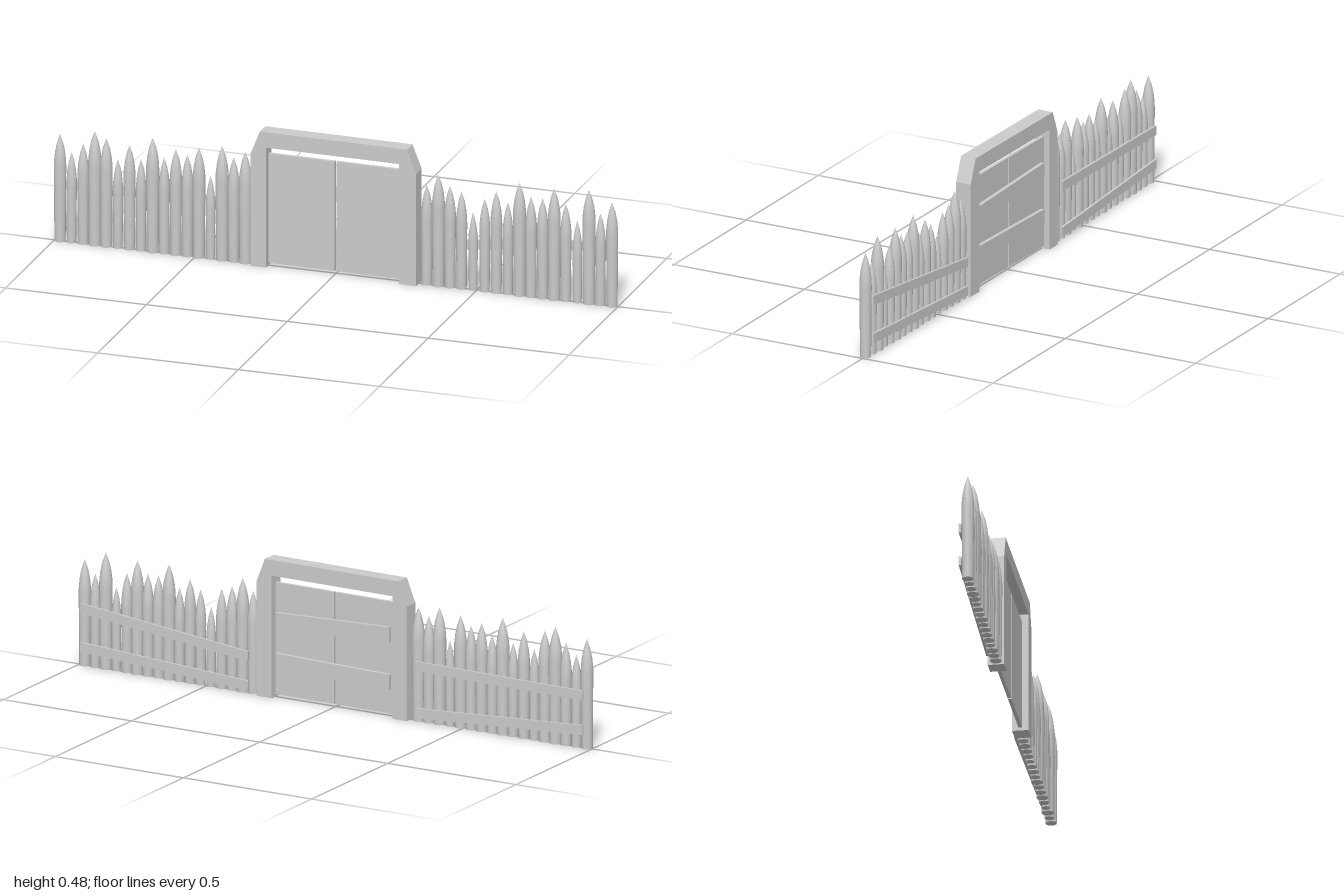
import * as THREE from 'three';

const material = new THREE.MeshStandardMaterial({ color: 0xcccccc });

function addMesh(parent, name, geometry) {
  const mesh = new THREE.Mesh(geometry, material);
  mesh.name = name;
  parent.add(mesh);
  return mesh;
}

// Sharpened log: slightly swollen shaft with a curved point and a flat foot
function makeStake(x, height) {
  const stake = new THREE.Group();
  stake.name = 'stake';
  const r = 0.0165 + Math.max(0, height - 0.29) * 0.055;
  const profile = [
    [0.9 * r, 0], [0.95 * r, height * 0.4], [r, height - 0.12], [0.97 * r, height - 0.095],
    [0.82 * r, height - 0.065], [0.55 * r, height - 0.035], [0.0003, height],
  ].map(([px, py]) => new THREE.Vector2(px, py));
  addMesh(stake, 'stakeShaft', new THREE.LatheGeometry(profile, 12));
  addMesh(stake, 'stakeFoot', new THREE.CircleGeometry(0.9 * r, 12).rotateX(Math.PI / 2));
  stake.position.x = x;
  return stake;
}

// Board running between two points in the xy plane
function addBoard(parent, name, [x0, y0], [x1, y1], height, depth, z) {
  const length = Math.hypot(x1 - x0, y1 - y0);
  const board = addMesh(parent, name, new THREE.BoxGeometry(length, height, depth));
  board.position.set((x0 + x1) / 2, (y0 + y1) / 2, z);
  board.rotation.z = Math.atan2(y1 - y0, x1 - x0);
}

// Row of stakes with two rails nailed on the back
function makeFence(name, startX, heights, rails) {
  const fence = new THREE.Group();
  fence.name = name;
  heights.forEach((h, i) => fence.add(makeStake(startX + i * 0.0411, h)));
  rails.forEach(([from, to]) => addBoard(fence, 'fenceRail', from, to, 0.033, 0.008, -0.027));
  return fence;
}

function makeGate() {
  const gate = new THREE.Group();
  gate.name = 'gate';

  // Chamfered portal open at the ground
  const outline = [
    [-0.295, 0], [-0.24, 0], [-0.24, 0.428], [0.235, 0.428], [0.235, 0], [0.295, 0],
    [0.295, 0.4], [0.262, 0.483], [-0.262, 0.483], [-0.295, 0.4],
  ].map(([x, y]) => new THREE.Vector2(x, y));
  const frame = new THREE.ExtrudeGeometry(new THREE.Shape(outline), { depth: 0.056, bevelEnabled: false });
  addMesh(gate, 'gateFrame', frame.translate(0, 0, -0.028));

  // Two door leaves with a narrow gap
  for (const [x0, x1] of [[-0.239, -0.003], [0.003, 0.234]]) {
    const leaf = addMesh(gate, 'doorLeaf', new THREE.BoxGeometry(x1 - x0, 0.39, 0.012));
    leaf.position.set((x0 + x1) / 2, 0.205, 0);
  }

  // Crossbars on the back of the doors
  addBoard(gate, 'crossbar', [-0.22, 0.288], [0.225, 0.272], 0.052, 0.013, -0.0125);
  addBoard(gate, 'crossbar', [-0.22, 0.122], [0.225, 0.13], 0.052, 0.013, -0.0125);

  gate.rotation.y = -0.012;
  return gate;
}

export function createModel() {
  const model = new THREE.Group();
  model.name = 'palisadeWithGate';
  const rightHeights = [0.38, 0.32, 0.355, 0.405, 0.385, 0.315, 0.37, 0.325, 0.405,
    0.34, 0.375, 0.36, 0.39, 0.295, 0.405, 0.37, 0.395];
  const leftHeights = [0.355, 0.395, 0.36, 0.345, 0.275, 0.33, 0.36, 0.325, 0.4,
    0.355, 0.355, 0.395, 0.345, 0.29, 0.405, 0.325, 0.37];
  model.add(
    makeFence('rightFence', -0.98, rightHeights, [
      [[-0.98, 0.19], [-0.33, 0.197]],
      [[-0.98, 0.07], [-0.33, 0.033]],
    ]),
    makeFence('leftFence', 0.322, leftHeights, [
      [[0.325, 0.134], [0.98, 0.206]],
      [[0.325, 0.032], [0.98, 0.07]],
    ]),
    makeGate(),
  );
  return model;
}
